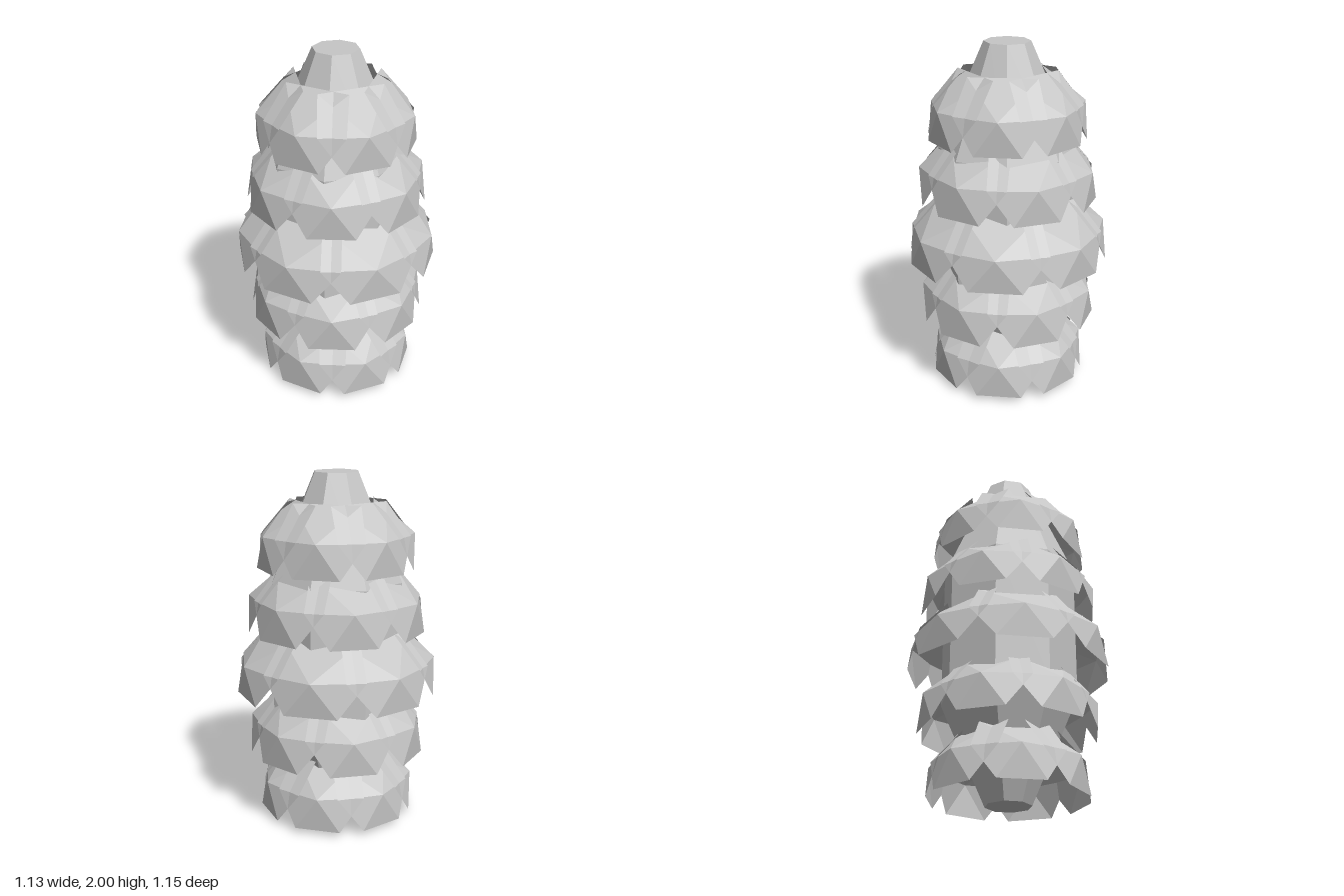
import * as THREE from 'three';

const SCALES_PER_TIER = 7;

// One scale: a bent hexagon fanned around a raised centre.
// x points outward, y up, z sideways; push moves it out, widen stretches it sideways.
function scaleGeometry(push, widen) {
  const centre = [0.44, 0.19, 0];
  const rim = [
    [0.345, 0.19, -0.25], [0.205, 0.37, -0.19], [0.205, 0.37, 0.19],
    [0.345, 0.19, 0.25], [0.43, 0, 0.13], [0.43, 0, -0.13],
  ];
  const positions = [];
  rim.forEach((p, i) => {
    for (const [x, y, z] of [centre, p, rim[(i + 1) % rim.length]]) {
      positions.push(x + push, y, z * widen);
    }
  });
  const geometry = new THREE.BufferGeometry();
  geometry.setAttribute('position', new THREE.Float32BufferAttribute(positions, 3));
  geometry.computeVertexNormals();
  return geometry;
}

export function createModel() {
  const model = new THREE.Group();
  model.name = 'pineCone';
  const grey = new THREE.MeshStandardMaterial({
    color: 0xc6c6c6, flatShading: true, side: THREE.DoubleSide,
  });
  grey.name = 'grey';

  // Eight-sided core tapering to both ends
  const profile = [[0, 0], [0.13, 0], [0.39, 0.6], [0.39, 1.4], [0.13, 2], [0, 2]]
    .map(([r, y]) => new THREE.Vector2(r, y));
  const core = new THREE.Mesh(new THREE.LatheGeometry(profile, 8), grey);
  core.name = 'core';
  model.add(core);

  // Five tiers of overlapping scales, every other one turned by half a step
  const tiers = [[0, 1], [0.06, 1.02], [0.125, 1.15], [0.06, 1.02], [0, 1]];
  const step = (Math.PI * 2) / SCALES_PER_TIER;
  tiers.forEach(([push, widen], t) => {
    const tier = new THREE.Group();
    tier.name = `scaleTier${t + 1}`;
    tier.position.y = 0.03 + t * 0.36;
    const geometry = scaleGeometry(push, widen);
    for (let i = 0; i < SCALES_PER_TIER; i++) {
      const scale = new THREE.Mesh(geometry, grey);
      scale.name = 'scale';
      scale.rotation.y = (i + (t % 2) / 2) * step;
      tier.add(scale);
    }
    model.add(tier);
  });
  return model;
}
